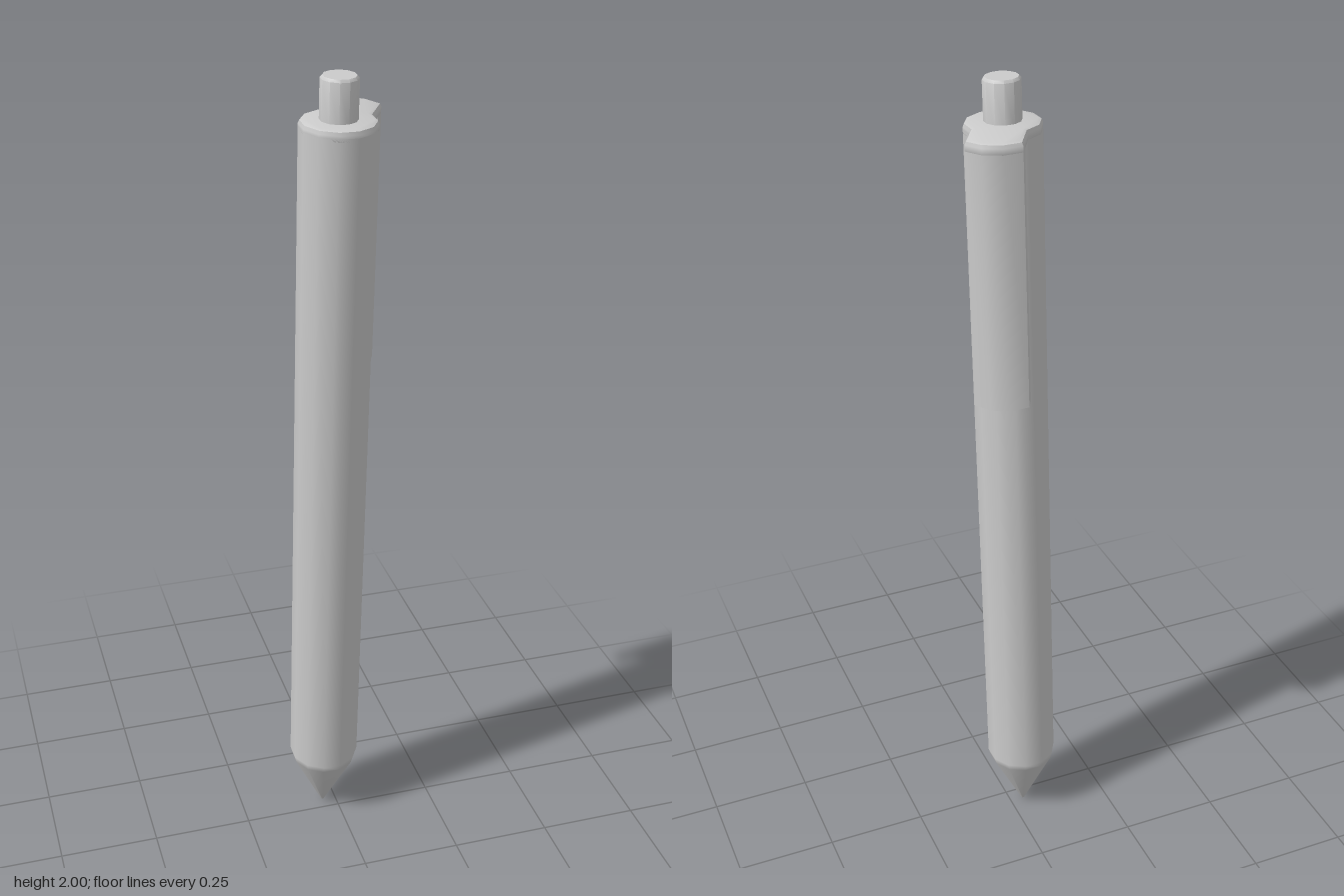
import * as THREE from 'three';
import { toCreasedNormals } from 'three/addons/utils/BufferGeometryUtils.js';

const R = 0.088;          // barrel radius
const CLIP_OFFSET = 0.083; // clip arc centre, measured from the barrel axis
const rad = THREE.MathUtils.degToRad;

// Point on a circle, angle measured from the outward (+y of the shape) direction
const onCircle = (r, deg, cy = 0) =>
  new THREE.Vector2(r * Math.sin(rad(deg)), cy + r * Math.cos(rad(deg)));

// Extrude a plan outline upward between two heights, then turn it to the clip side
function slab(points, y0, y1, bevel) {
  const geo = new THREE.ExtrudeGeometry(new THREE.Shape(points), {
    depth: y1 - y0 - 2 * bevel, bevelEnabled: bevel > 0,
    bevelSize: bevel, bevelThickness: bevel, bevelOffset: -bevel, bevelSegments: 2,
  });
  geo.rotateX(-Math.PI / 2).translate(0, y0 + bevel, 0).rotateY(rad(-30));
  return toCreasedNormals(geo, rad(40));
}

// Twelve-sided turned part
function turned(profile) {
  const pts = profile.map(([x, y]) => new THREE.Vector2(x, y));
  return new THREE.LatheGeometry(pts, 12, rad(15));
}

export function createModel() {
  const model = new THREE.Group();
  model.name = 'pen';
  const material = new THREE.MeshStandardMaterial({ color: 0xcccccc, side: THREE.DoubleSide });
  const add = (name, geo) => {
    const mesh = new THREE.Mesh(geo, material);
    mesh.name = name;
    pen.add(mesh);
  };

  // Whole pen leans slightly about its tip
  const pen = new THREE.Group();
  pen.name = 'leaningPen';
  pen.position.set(-0.035, 0, -0.035);
  pen.quaternion.setFromUnitVectors(
    new THREE.Vector3(0, 1, 0), new THREE.Vector3(0.022, 2, 0.09).normalize());
  model.add(pen);

  // Barrel with its conical tip
  add('barrel', turned([[0, 0], [0.004, 0.002], [0.083, 0.162], [R, 0.18], [R, 1.885]]));

  // Push button
  add('button', toCreasedNormals(turned(
    [[0.043, 1.88], [0.043, 1.992], [0.038, 1.998], [0, 1.998]]), rad(40)));

  // Cap: barrel outline joined to the clip outline
  const outerArc = [-45, -15, 15, 45].map(a => onCircle(R, a, CLIP_OFFSET));
  const barrelArc = [];
  for (let a = 45; a <= 315; a += 30) barrelArc.push(onCircle(R, a));
  add('cap', slab([...outerArc, ...barrelArc], 1.868, 1.902, 0.01));

  // Clip: channel section with its open side facing the barrel
  const lip = 0.115;
  const innerArc = [45, 15, -15, -45].map(a => onCircle(0.066, a, CLIP_OFFSET));
  const side = outerArc[3].x, inner = innerArc[0].x;
  add('clip', slab([
    ...outerArc,
    new THREE.Vector2(side, lip), new THREE.Vector2(inner, lip),
    ...innerArc,
    new THREE.Vector2(-inner, lip), new THREE.Vector2(-side, lip),
  ], 1.28, 1.885, 0));

  return model;
}
